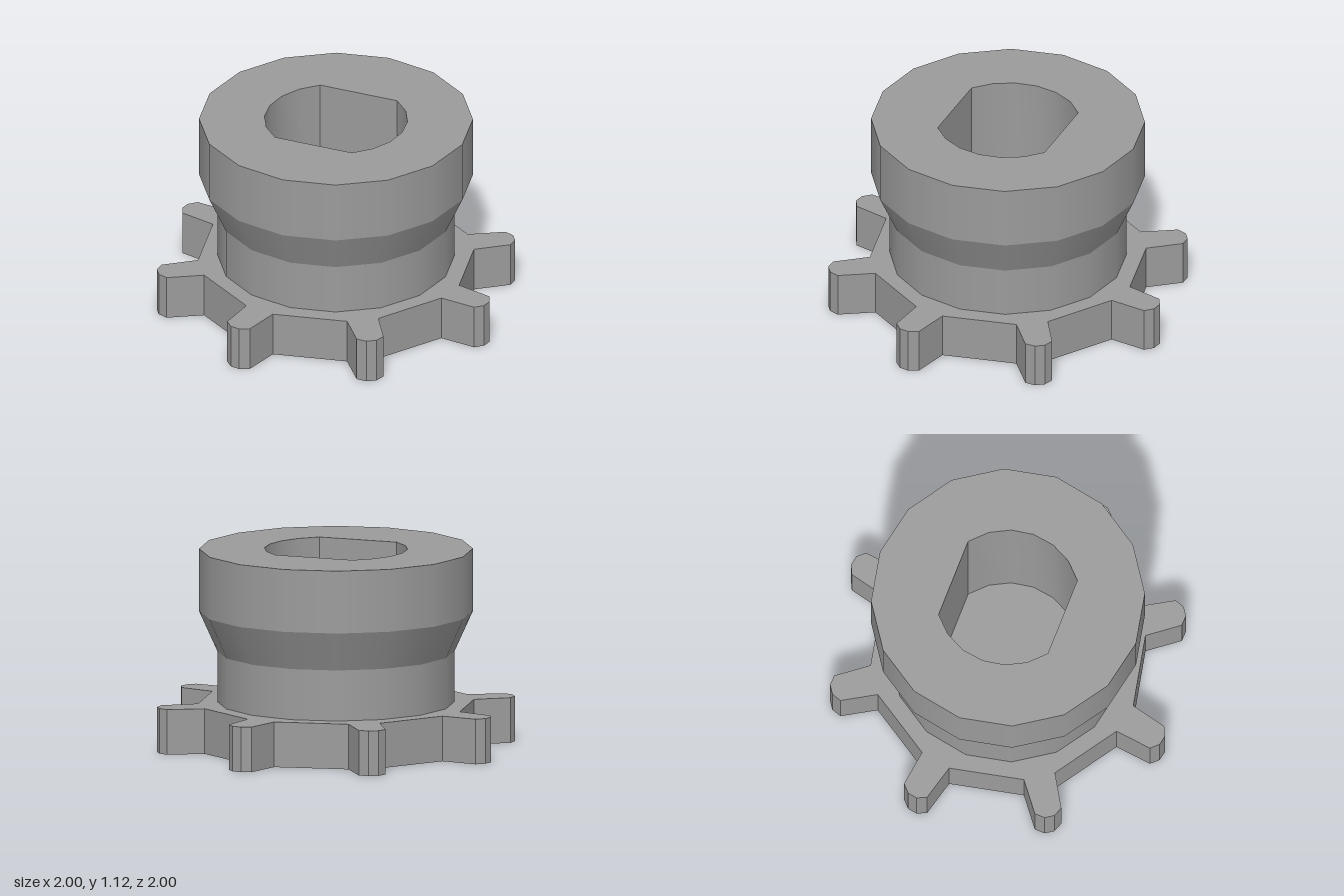
import * as THREE from 'three';
import { toCreasedNormals } from 'three/addons/utils/BufferGeometryUtils.js';

const SIDES = 16;
const GEAR_TOP = 0.255, NECK_TOP = 0.541, FLARE_TOP = 0.767, TOP = 1.12;
const NECK_R = 0.662, HEAD_R = 0.764;
const BORE_FLOOR = GEAR_TOP + 0.005;

export function createModel() {
  const model = new THREE.Group();
  const material = new THREE.MeshStandardMaterial({ color: 0x9b9b9b });

  const add = (name, geometry, y = 0) => {
    const mesh = new THREE.Mesh(geometry, material);
    mesh.name = name;
    mesh.position.y = y;
    model.add(mesh);
  };

  // Toothed wheel: one chamfered tooth outline repeated eight times, straight between teeth
  const tooth = [[0.767, -0.089], [0.978, -0.076], [1.013, -0.028],
    [1.013, 0.028], [0.978, 0.076], [0.767, 0.089]];
  const outline = [];
  for (let i = 0; i < 8; i++) {
    const a = THREE.MathUtils.degToRad(11 + i * 45);
    for (const [r, t] of tooth) {
      outline.push(new THREE.Vector2(
        r * Math.sin(a) + t * Math.cos(a), r * Math.cos(a) - t * Math.sin(a)));
    }
  }
  const wheel = new THREE.ExtrudeGeometry(new THREE.Shape(outline),
    { depth: GEAR_TOP, bevelEnabled: false });
  add('toothedWheel', wheel.rotateX(-Math.PI / 2));

  // Hub walls: neck, flare and head
  const band = (name, r0, r1, y0, y1) => add(name,
    new THREE.CylinderGeometry(r1, r0, y1 - y0, SIDES, 1, true), (y0 + y1) / 2);
  band('neck', NECK_R, NECK_R, GEAR_TOP, NECK_TOP);
  band('flare', NECK_R, HEAD_R, NECK_TOP, FLARE_TOP);
  band('head', HEAD_R, HEAD_R, FLARE_TOP, TOP);

  // Bore outline: two arcs joined by two flats
  const bore = [];
  for (const start of [0, Math.PI]) {
    for (let i = 0; i <= 6; i++) {
      const a = start + THREE.MathUtils.degToRad(-54.5 + i * 109 / 6);
      bore.push(new THREE.Vector2(0.4 * Math.cos(a), 0.4 * Math.sin(a)));
    }
  }

  // Top face around the bore
  const rim = new THREE.Shape(Array.from({ length: SIDES }, (_, i) => {
    const a = i / SIDES * Math.PI * 2;
    return new THREE.Vector2(HEAD_R * Math.cos(a), HEAD_R * Math.sin(a));
  }));
  rim.holes.push(new THREE.Path(bore));
  add('topFace', new THREE.ShapeGeometry(rim).rotateX(-Math.PI / 2), TOP);

  // Bore wall, facing inward
  const wall = [];
  bore.forEach((p, i) => {
    const q = bore[(i + 1) % bore.length];
    const p0 = [p.x, BORE_FLOOR, -p.y], p1 = [p.x, TOP, -p.y];
    const q0 = [q.x, BORE_FLOOR, -q.y], q1 = [q.x, TOP, -q.y];
    wall.push(...p0, ...p1, ...q1, ...p0, ...q1, ...q0);
  });
  const wallGeometry = new THREE.BufferGeometry();
  wallGeometry.setAttribute('position', new THREE.Float32BufferAttribute(wall, 3));
  add('boreWall', toCreasedNormals(wallGeometry, 0.5));

  // Bore floor
  add('boreFloor', new THREE.ShapeGeometry(new THREE.Shape(bore)).rotateX(-Math.PI / 2), BORE_FLOOR);

  return model;
}
